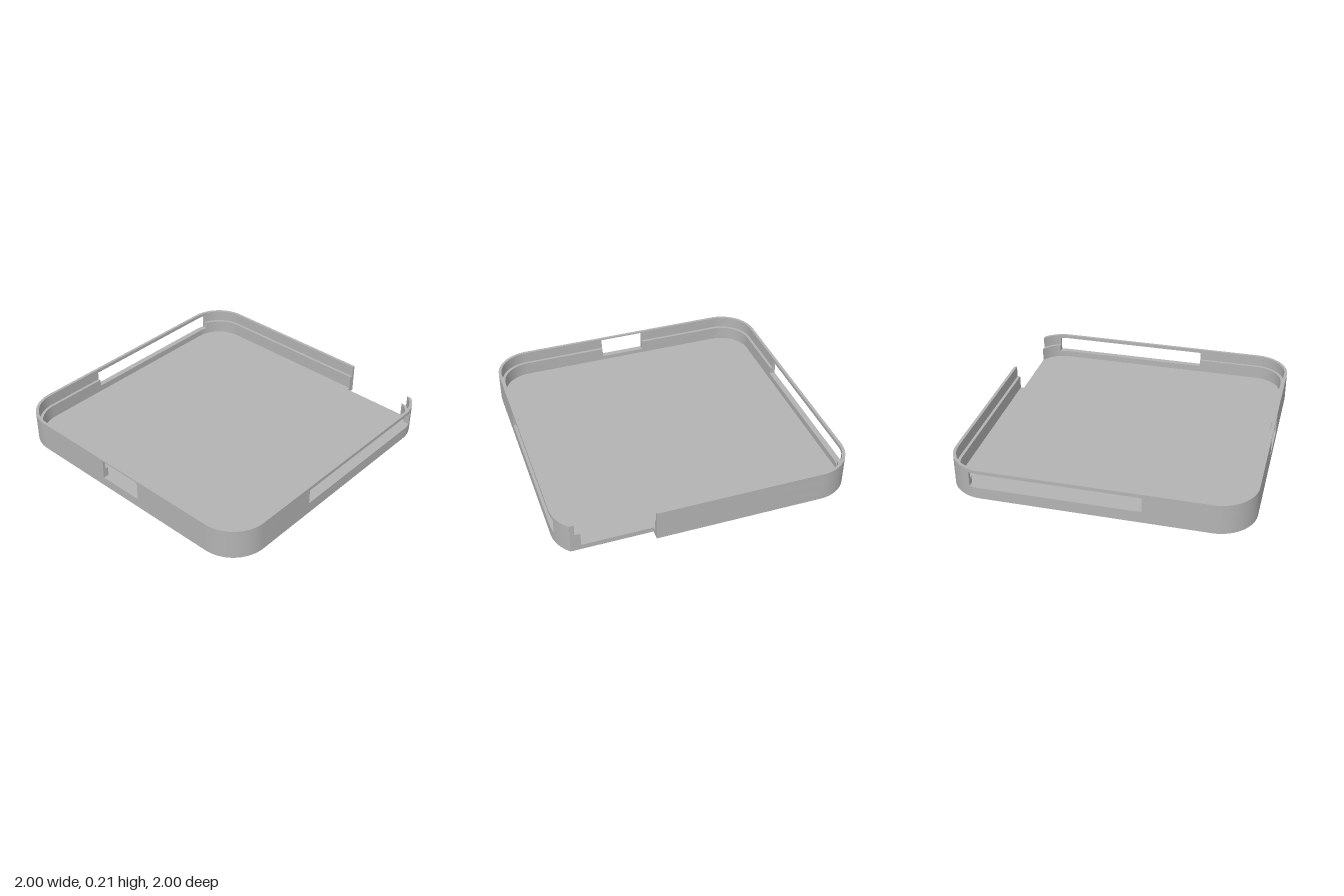
import * as THREE from 'three';
import { toCreasedNormals } from 'three/addons/utils/BufferGeometryUtils.js';

const HALF = 1, RADIUS = 0.25, CENTRE = HALF - RADIUS;
const FLOOR_TOP = 0.035, LEDGE = 0.13, TOP = 0.21;
const SIDE_BACK = -0.82, SIDE_FRONT = 0.31;   // side openings along z
const FRONT_HALF = 0.16;                      // front opening along x
const NOTCH_X = 0.38, NOTCH_Z = -0.935;       // cut-away at the back

// Corner arc in plan (x, z)
function arc(cx, cz, r, a0, a1, n = 16) {
  return Array.from({ length: n + 1 }, (_, i) => {
    const a = a0 + (a1 - a0) * i / n;
    return new THREE.Vector2(cx + r * Math.cos(a), cz + r * Math.sin(a));
  });
}

// Angle where a back corner arc of radius r meets the plane at z
const cutAngle = (z, r) => -Math.asin((-CENTRE - z) / r);
const pt = (x, z) => new THREE.Vector2(x, z);
const mirror = (points) => points.map((p) => pt(-p.x, p.y));

// Extrude a plan outline between two heights
function slab(points, y0, y1) {
  const geo = new THREE.ExtrudeGeometry(new THREE.Shape(points), { depth: y1 - y0, bevelEnabled: false });
  geo.rotateX(Math.PI / 2);
  geo.translate(0, y1, 0);
  return toCreasedNormals(geo, 0.5);
}

// Wall runs, each a plan path at inset o from the outer face
const cornerAtNotch = (o) => {
  const r = RADIUS - o;
  return arc(CENTRE, -CENTRE, r, cutAngle(NOTCH_Z, r), cutAngle(SIDE_BACK, r));
};
const side = (o) => {
  const r = RADIUS - o;
  return [...arc(CENTRE, -CENTRE, r, cutAngle(SIDE_BACK, r), 0, 6), pt(HALF - o, SIDE_FRONT)];
};
const frontCorner = (o) => [
  pt(HALF - o, SIDE_FRONT),
  ...arc(CENTRE, CENTRE, RADIUS - o, 0, Math.PI / 2, 24),
  pt(FRONT_HALF, HALF - o),
];
const frontMiddle = (o) => [pt(FRONT_HALF, HALF - o), pt(-FRONT_HALF, HALF - o)];
const backRun = (o) => {
  const r = RADIUS - o;
  return [...mirror(arc(CENTRE, -CENTRE, r, cutAngle(SIDE_BACK, r), -Math.PI / 2, 20)), pt(NOTCH_X, -HALF + o)];
};

export function createModel() {
  const tray = new THREE.Group();
  tray.name = 'tray';
  const grey = new THREE.MeshStandardMaterial({ color: 0xb3b3b3 });
  grey.name = 'grey';

  const add = (name, points, y0, y1, parent = tray) => {
    const mesh = new THREE.Mesh(slab(points, y0, y1), grey);
    mesh.name = name;
    parent.add(mesh);
  };

  // Wall run: thick below the ledge, thin lip above it
  const addWall = (name, path, spans) => {
    const group = new THREE.Group();
    group.name = name;
    const outline = (o) => [...path(0), ...path(o).reverse()];
    for (const [y0, y1] of spans) {
      if (y0 < LEDGE) add(name + 'Base', outline(0.04), y0, Math.min(y1, LEDGE), group);
      if (y1 > LEDGE) add(name + 'Lip', outline(0.02), Math.max(y0, LEDGE), y1, group);
    }
    tray.add(group);
  };

  // Floor plate with the back notch
  const c = CENTRE, r = RADIUS, q = Math.PI / 2;
  add('floor', [
    ...arc(c, -c, r, cutAngle(NOTCH_Z, r), 0),
    ...arc(c, c, r, 0, q, 24),
    ...arc(-c, c, r, q, 2 * q, 24),
    ...arc(-c, -c, r, 2 * q, 3 * q, 24),
    pt(NOTCH_X, -HALF),
    pt(NOTCH_X, NOTCH_Z),
  ], 0, FLOOR_TOP);

  const full = [[FLOOR_TOP, TOP]];
  const sideSpans = [[FLOOR_TOP, 0.08], [0.185, TOP]];
  addWall('backLeftCorner', cornerAtNotch, full);
  addWall('backWall', backRun, full);
  addWall('leftWall', side, sideSpans);
  addWall('rightWall', (o) => mirror(side(o)), sideSpans);
  addWall('frontLeftWall', frontCorner, full);
  addWall('frontRightWall', (o) => mirror(frontCorner(o)), full);
  addWall('frontOpening', frontMiddle, [[FLOOR_TOP, 0.065], [0.2, TOP]]);
  return tray;
}
